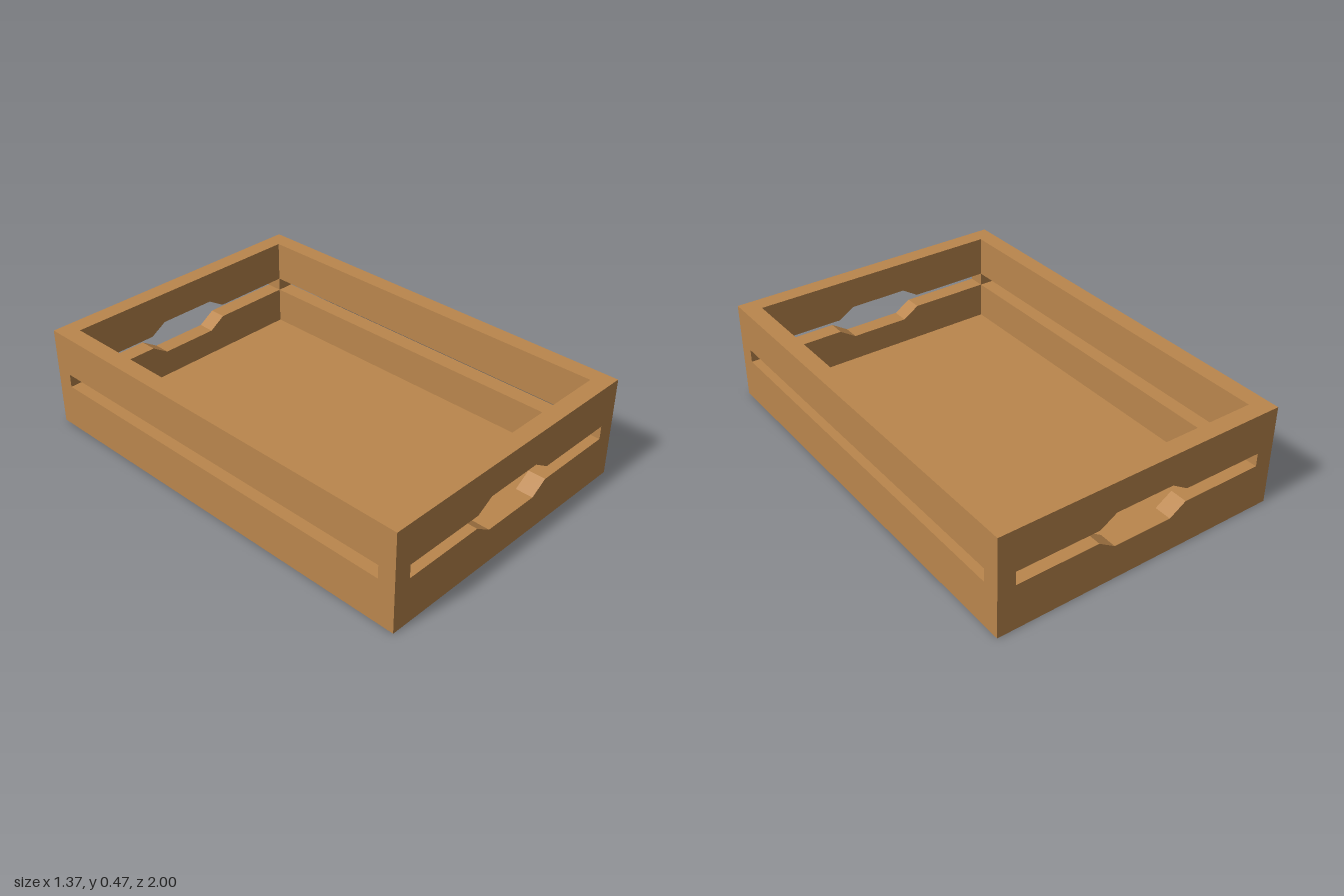
import * as THREE from 'three';

const W = 0.686, L = 1, H = 0.47;      // half width, half length, height
const T = 0.081;                       // wall thickness
const FLOOR = 0.04;                    // floor thickness
const SLOT_LOW = 0.214, SLOT_HIGH = 0.277;
const IN_W = W - T, IN_L = L - T;

export function createModel() {
  const group = new THREE.Group();
  const wood = new THREE.MeshStandardMaterial({ color: 0xba864d });
  wood.name = 'wood';

  const add = (name, geometry, x, y, z) => {
    const mesh = new THREE.Mesh(geometry, wood);
    mesh.name = name;
    mesh.position.set(x, y, z);
    group.add(mesh);
  };

  // End panels: full width, with a slot that widens into a hand hole
  const panel = new THREE.Shape([[-W, 0], [W, 0], [W, H], [-W, H]].map(p => new THREE.Vector2(...p)));
  panel.holes.push(new THREE.Path([
    [-IN_W, SLOT_LOW], [-IN_W, SLOT_HIGH],
    [-0.218, SLOT_HIGH], [-0.14, 0.325], [0.14, 0.325], [0.218, SLOT_HIGH],
    [IN_W, SLOT_HIGH], [IN_W, SLOT_LOW],
    [0.218, SLOT_LOW], [0.14, 0.164], [-0.14, 0.164], [-0.218, SLOT_LOW],
  ].map(p => new THREE.Vector2(...p))));
  const panelGeometry = new THREE.ExtrudeGeometry(panel, { depth: T, bevelEnabled: false });
  add('frontPanel', panelGeometry, 0, 0, IN_L);
  add('backPanel', panelGeometry, 0, 0, -L);

  // Side walls: lower and upper rails with a long open slot between them
  const lowerRail = new THREE.BoxGeometry(T, SLOT_LOW, 2 * IN_L);
  const upperRail = new THREE.BoxGeometry(T, H - SLOT_HIGH, 2 * IN_L);
  for (const [side, s] of [['left', 1], ['right', -1]]) {
    const x = s * (W - T / 2);
    add(side + 'LowerRail', lowerRail, x, SLOT_LOW / 2, 0);
    add(side + 'UpperRail', upperRail, x, (H + SLOT_HIGH) / 2, 0);
  }

  // Tray floor between the walls
  add('floor', new THREE.BoxGeometry(2 * IN_W, FLOOR, 2 * IN_L), 0, FLOOR / 2, 0);

  return group;
}
